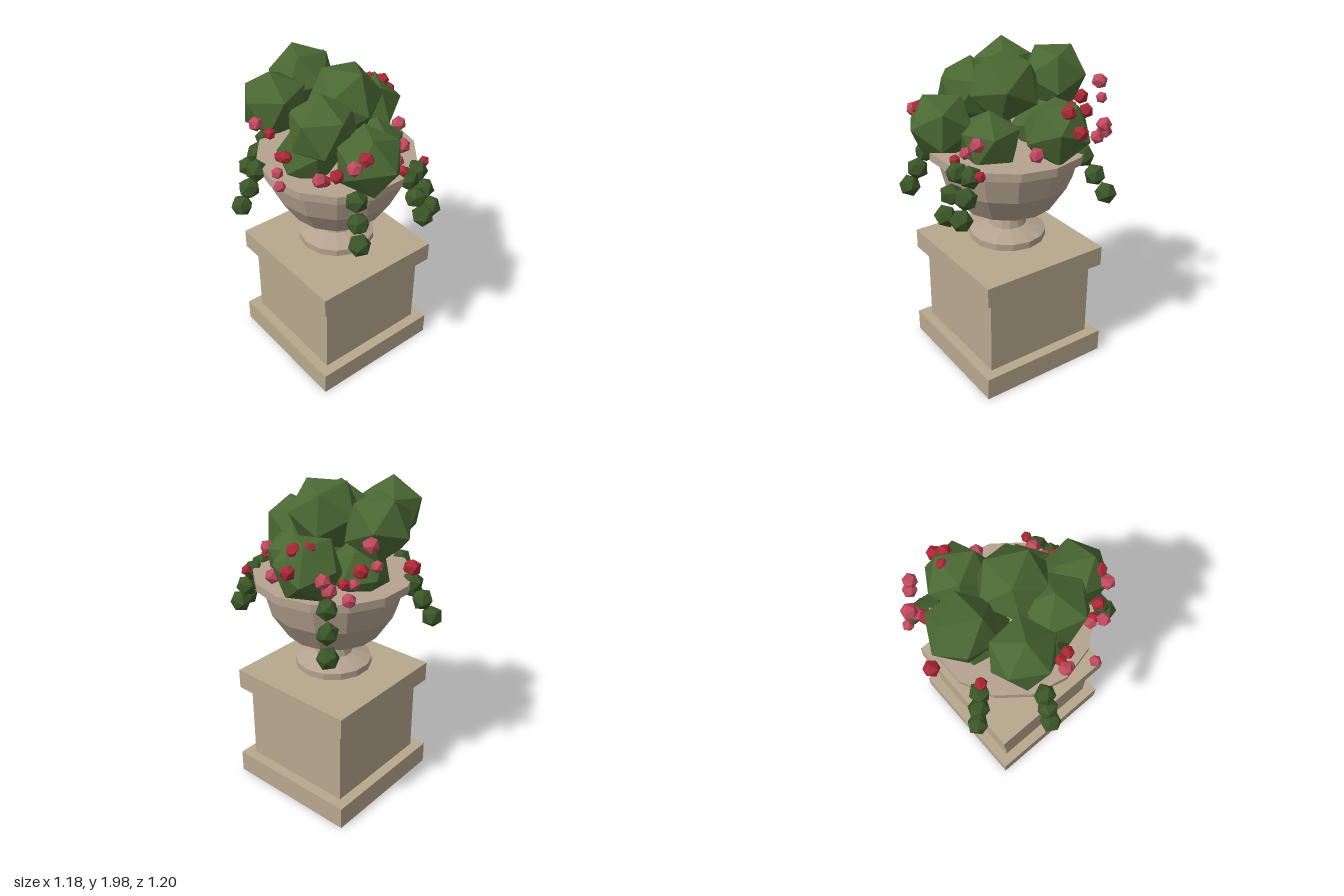
import * as THREE from 'three';

const mat = (name, color) => {
  const m = new THREE.MeshStandardMaterial({ color, flatShading: true });
  m.name = name;
  return m;
};

export function createModel() {
  const model = new THREE.Group();
  const pedestalStone = mat('pedestal stone', 0xb8a88e);
  const urnStone = mat('urn stone', 0xb5a390);
  const leafGreen = mat('leaf green', 0x4a6833);
  const vineGreen = mat('vine green', 0x3b5628);
  const red = mat('red petal', 0xab2835);
  const pink = mat('pink petal', 0xc24a5e);
  const CX = 0.032, CZ = -0.005;

  let seed = 7;
  const rand = () => (seed = (seed * 16807) % 2147483647) / 2147483647;

  const add = (parent, name, geometry, material, x, y, z) => {
    const mesh = new THREE.Mesh(geometry, material);
    mesh.name = name;
    mesh.position.set(x, y, z);
    parent.add(mesh);
    return mesh;
  };
  const group = (name) => {
    const g = new THREE.Group();
    g.name = name;
    model.add(g);
    return g;
  };
  const clump = (parent, name, r, material, x, y, z) => {
    const m = add(parent, name, new THREE.IcosahedronGeometry(r, 0), material, x, y, z);
    m.rotation.set(rand() * 6.28, rand() * 6.28, rand() * 6.28);
  };

  // Square pedestal: base, body and cap as [name, width, bottom, top]
  const pedestal = group('pedestal');
  for (const [name, w, y0, y1] of [
    ['pedestalBase', 0.868, 0, 0.145],
    ['pedestalBody', 0.736, 0.145, 0.655],
    ['pedestalCap', 0.84, 0.655, 0.782],
  ]) add(pedestal, name, new THREE.BoxGeometry(w, y1 - y0, w), pedestalStone, CX, (y0 + y1) / 2, CZ);

  // Fourteen-sided urn: foot, neck, bowl and rim, closed on top
  const profile = [
    [0, 0.782], [0.16, 0.782], [0.238, 0.825], [0.238, 0.867], [0.118, 0.912], [0.1, 0.985],
    [0.13, 0.985], [0.288, 1.06], [0.39, 1.22], [0.433, 1.385], [0.476, 1.39], [0.476, 1.44], [0, 1.44],
  ].map(([r, y]) => new THREE.Vector2(r, y));
  const urn = add(model, 'urn', new THREE.LatheGeometry(profile, 14), urnStone, CX, 0, CZ);
  urn.rotation.y = Math.PI / 2;

  // Large leaf clumps: x, y, z, radius
  const foliage = group('foliage');
  for (const [x, y, z, r] of [
    [0.035, 1.79, -0.33, 0.205], [0.055, 1.79, 0.035, 0.222], [-0.175, 1.72, 0.13, 0.208],
    [-0.27, 1.78, -0.18, 0.2], [0.36, 1.585, -0.11, 0.205], [-0.06, 1.6, 0.385, 0.202],
    [0.14, 1.52, 0.19, 0.19], [0.06, 1.51, -0.22, 0.19], [-0.19, 1.52, 0.02, 0.19],
  ]) clump(foliage, 'leafClump', r, leafGreen, x, y, z);

  // Trailing vines, three leaf balls each: top x, z to bottom x, z
  const vines = group('trailingVines');
  for (const [x0, z0, x1, z1] of [
    [-0.43, -0.16, -0.53, -0.19], [-0.19, -0.42, -0.27, -0.515], [0.40, -0.28, 0.505, -0.375],
    [-0.18, 0.43, -0.23, 0.52], [0.19, 0.44, 0.228, 0.54], [0.285, 0.41, 0.325, 0.5],
  ]) {
    for (let i = 0; i < 3; i++) {
      const t = i / 2;
      clump(vines, 'vineLeaf', 0.067, vineGreen, x0 + (x1 - x0) * t, 1.41 - 0.11 * i, z0 + (z1 - z0) * t);
    }
  }

  // Blossoms: x, y, z, radius
  const blossoms = group('blossoms');
  const redSpots = [
    [0.025, 1.61, -0.56, 0.05], [0.265, 1.62, -0.4, 0.046], [0.54, 1.625, -0.13, 0.046],
    [0.463, 1.72, -0.105, 0.046], [0.41, 1.73, -0.165, 0.038], [0.355, 1.435, 0.395, 0.034],
    [0.155, 1.47, 0.43, 0.034], [0.25, 1.5, -0.27, 0.038], [-0.155, 1.69, 0.47, 0.046],
    [-0.27, 1.58, 0.37, 0.042], [-0.3, 1.53, 0.31, 0.035], [-0.37, 1.58, 0.05, 0.04],
    [-0.405, 1.7, -0.04, 0.036], [-0.32, 1.5, -0.08, 0.036], [-0.18, 1.5, -0.4, 0.04],
  ];
  const pinkSpots = [
    [0.283, 1.79, -0.475, 0.048], [0.27, 1.68, -0.51, 0.035], [0.37, 1.49, -0.405, 0.044],
    [0.475, 1.57, -0.36, 0.046], [0.495, 1.62, -0.335, 0.046], [0.44, 1.515, 0.085, 0.046],
    [0.235, 1.56, 0.335, 0.046], [0.17, 1.5, 0.37, 0.038], [-0.23, 1.66, 0.465, 0.046],
    [-0.355, 1.57, 0.33, 0.042], [-0.31, 1.52, 0.28, 0.04], [-0.487, 1.495, 0.155, 0.035],
    [-0.47, 1.77, -0.07, 0.042], [-0.415, 1.485, 0.03, 0.036], [0.21, 1.5, -0.31, 0.035],
  ];
  for (const [spots, m, name] of [[redSpots, red, 'redBlossom'], [pinkSpots, pink, 'pinkBlossom']])
    for (const [x, y, z, r] of spots) clump(blossoms, name, r, m, x, y, z);

  return model;
}
